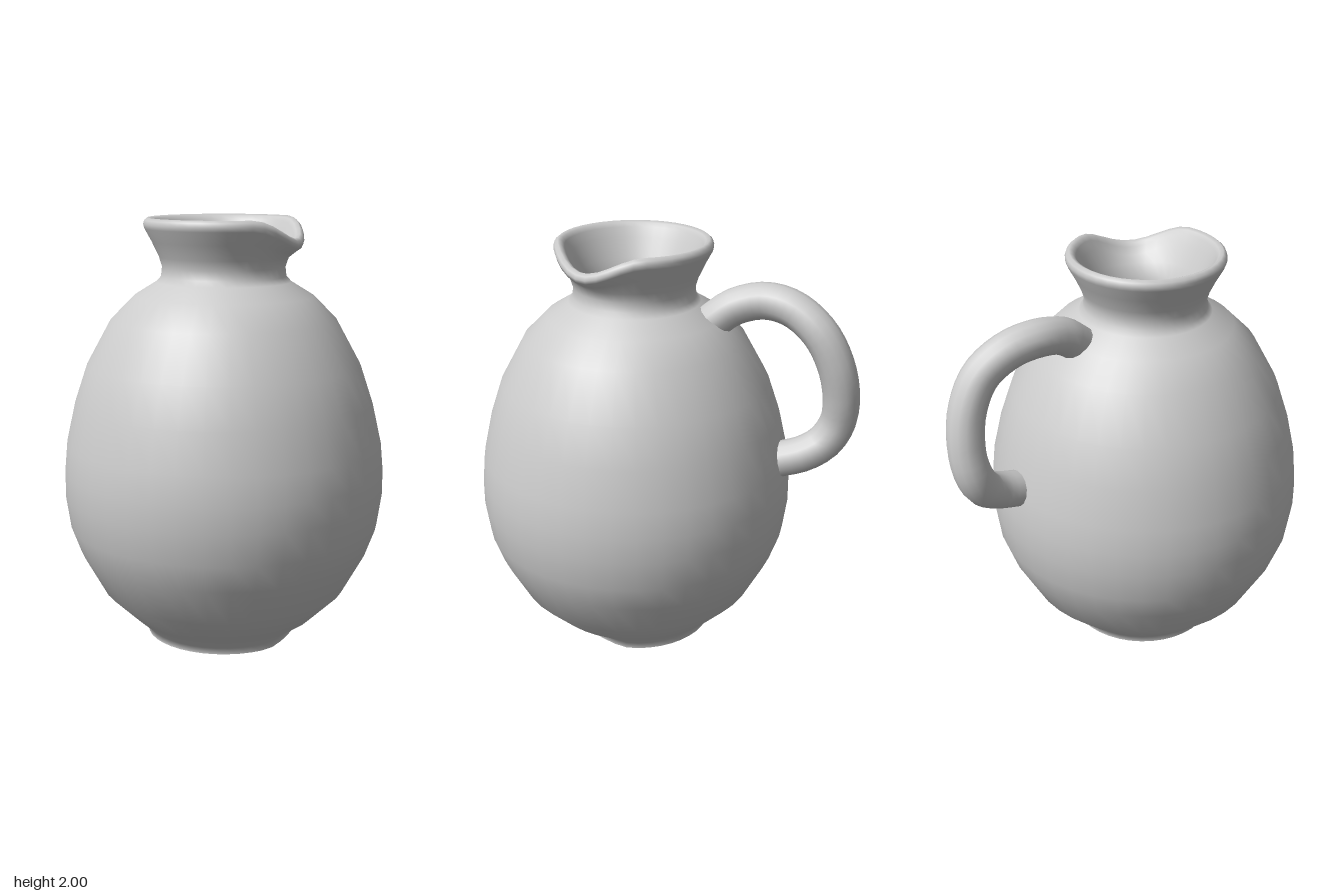
import * as THREE from 'three';
import { mergeVertices } from 'three/addons/utils/BufferGeometryUtils.js';

const material = new THREE.MeshStandardMaterial({ color: 0xcccccc });
const SPOUT_ANGLE = THREE.MathUtils.degToRad(23);

// Smooth bump around the spout direction: 1 in the middle, 0 beyond halfWidth
function spoutWeight(x, z, halfWidth) {
  const a = Math.abs(Math.atan2(z, x) - SPOUT_ANGLE);
  const d = Math.min(a, 2 * Math.PI - a) / THREE.MathUtils.degToRad(halfWidth);
  return d >= 1 ? 0 : 0.5 + 0.5 * Math.cos(Math.PI * d);
}

// Turned part, dipped at the spout and notched at the foot
function turned(name, profile) {
  let geo = new THREE.LatheGeometry(profile.map(([r, y]) => new THREE.Vector2(r, y)), 40);
  geo.deleteAttribute('uv');
  geo.deleteAttribute('normal');
  const p = geo.attributes.position;
  for (let i = 0; i < p.count; i++) {
    const x = p.getX(i), y = p.getY(i), z = p.getZ(i);
    const r = Math.hypot(x, z);
    const lip = THREE.MathUtils.smoothstep(y, 1.8, 1.97);
    let dy = -0.09 * lip * spoutWeight(x, z, 50);
    if (y < 0.04 && r > 0.36) dy += 0.045 * spoutWeight(x, z, 38);
    p.setY(i, y + dy);
  }
  geo = mergeVertices(geo, 1e-4);
  geo.computeVertexNormals();
  const mesh = new THREE.Mesh(geo, material);
  mesh.name = name;
  return mesh;
}

export function createModel() {
  const jug = new THREE.Group();
  jug.name = 'jug';

  const vessel = new THREE.Group();
  vessel.name = 'vessel';
  vessel.position.z = 0.16;
  jug.add(vessel);

  // Outer wall, rolled lip and throat in one profile, then the hollow inside
  vessel.add(turned('body', [
    [0.37, 0], [0.372, 0.03], [0.45, 0.1], [0.585, 0.23], [0.69, 0.42], [0.738, 0.55],
    [0.76, 0.7], [0.76, 0.82], [0.748, 0.95], [0.705, 1.14], [0.645, 1.32], [0.53, 1.53],
    [0.42, 1.64], [0.315, 1.705], [0.293, 1.73], [0.288, 1.775], [0.302, 1.82],
    [0.335, 1.89], [0.368, 1.95], [0.373, 1.97], [0.368, 1.988], [0.353, 2.0],
    [0.335, 1.992], [0.322, 1.975], [0.3, 1.93], [0.255, 1.84], [0.225, 1.77],
    [0.212, 1.71], [0.22, 1.66], [0.4, 1.46], [0.56, 1.1], [0.6, 0.75], [0.5, 0.4], [0.3, 0.12],
  ]));
  vessel.add(turned('floor', [[0.3, 0.12], [0, 0.12]]));
  vessel.add(turned('underside', [[0, 0], [0.27, 0], [0.37, 0]]));

  // Slightly crooked loop handle at the back
  const path = new THREE.CatmullRomCurve3([
    [-0.005, 1.57, -0.15], [-0.01, 1.64, -0.23], [-0.025, 1.705, -0.32], [-0.045, 1.74, -0.46],
    [-0.03, 1.715, -0.6], [-0.005, 1.62, -0.73], [-0.01, 1.47, -0.81], [-0.035, 1.3, -0.84],
    [-0.055, 1.17, -0.825], [-0.045, 1.07, -0.77], [-0.015, 1.01, -0.68], [0.0, 0.97, -0.56],
    [0.005, 0.95, -0.5],
  ].map((c) => new THREE.Vector3(...c)));
  const handle = new THREE.Mesh(new THREE.TubeGeometry(path, 36, 0.087, 14), material);
  handle.name = 'handle';
  jug.add(handle);

  return jug;
}
